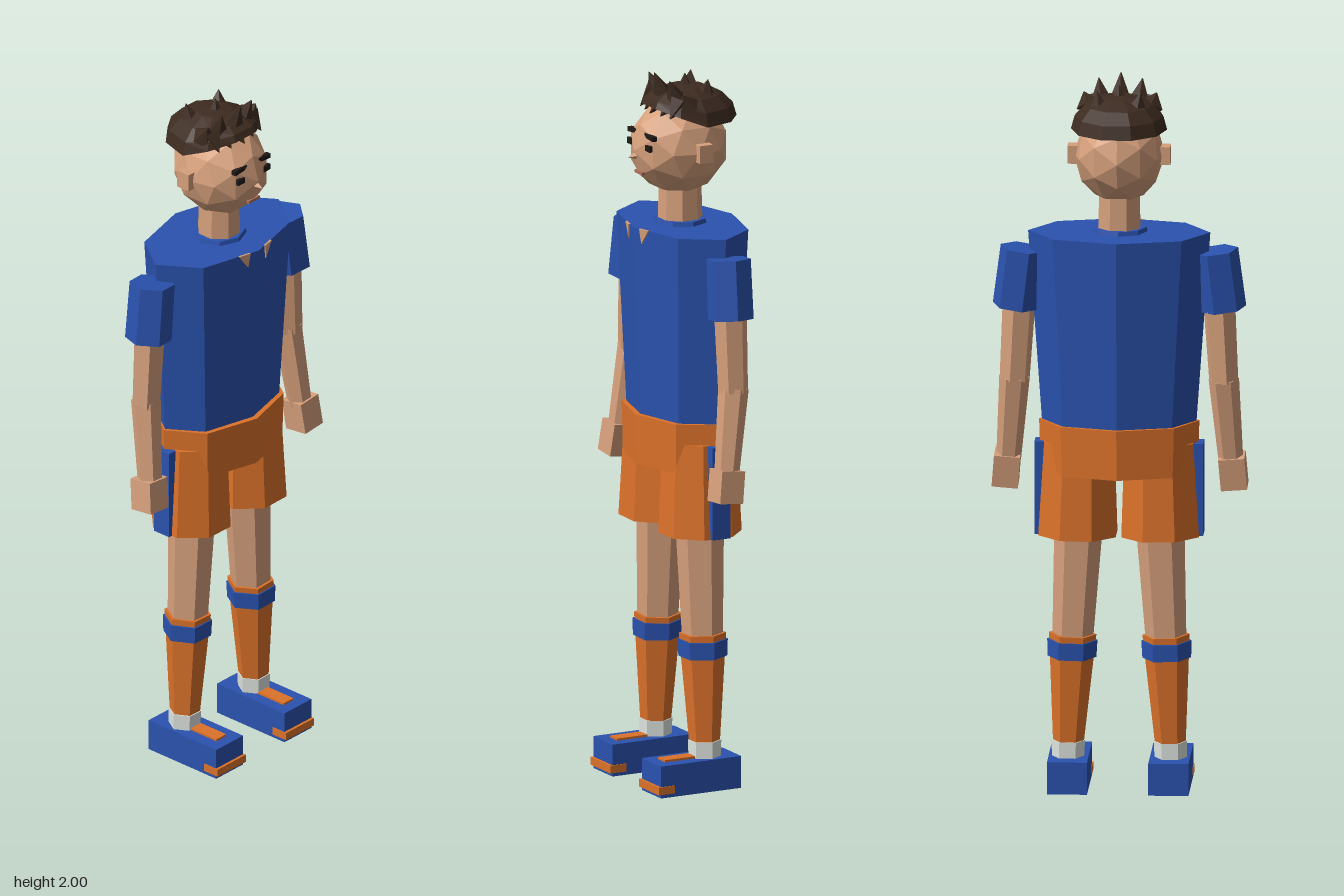
import * as THREE from 'three';

const material = (name, color) => {
  const m = new THREE.MeshStandardMaterial({ color });
  m.name = name;
  return m;
};

export function createModel() {
  const skin = material('skin', 0xd6a07c);
  const hair = material('hair', 0x3d2b20);
  const blue = material('blue cloth', 0x2a52ae);
  const orange = material('orange cloth', 0xdc722a);
  const white = material('ankle white', 0xdfe6e2);
  const dark = material('dark features', 0x1f1a18);
  const lip = material('lip', 0xb0705a);
  const model = new THREE.Group();
  model.name = 'footballer';

  // Faceted mesh with one normal per face
  const add = (name, geometry, mat, x = 0, y = 0, z = 0) => {
    const g = geometry.index ? geometry.toNonIndexed() : geometry;
    g.computeVertexNormals();
    const mesh = new THREE.Mesh(g, mat);
    mesh.name = name;
    mesh.position.set(x, y, z);
    model.add(mesh);
    return mesh;
  };
  const box = (name, mat, w, h, d, x, y, z) => add(name, new THREE.BoxGeometry(w, h, d), mat, x, y, z);

  // Prism or cone running from point a to point b
  const limb = (name, mat, a, b, ra, rb, sides = 6, turn = Math.PI / sides) => {
    const from = new THREE.Vector3(...a), to = new THREE.Vector3(...b);
    const dir = to.clone().sub(from);
    const g = new THREE.CylinderGeometry(rb, ra, dir.length(), sides).rotateY(turn);
    const mesh = add(name, g, mat);
    mesh.position.copy(from).add(to).multiplyScalar(0.5);
    mesh.quaternion.setFromUnitVectors(new THREE.Vector3(0, 1, 0), dir.normalize());
    return mesh;
  };

  // Flattened eight-sided body section
  const section = (name, mat, y0, y1, r0, r1, z, depth) =>
    add(name, new THREE.CylinderGeometry(r1, r0, y1 - y0, 8).scale(1, 1, depth), mat, 0, (y0 + y1) / 2, z);

  // Trunk
  section('shirt', blue, 1.01, 1.57, 0.21, 0.25, -0.012, 0.62);
  section('shortsWaist', orange, 0.9, 1.04, 0.215, 0.22, -0.01, 0.66);
  section('collar', blue, 1.56, 1.582, 0.08, 0.075, -0.005, 0.95);
  limb('neck', skin, [0, 1.56, -0.005], [0, 1.7, -0.005], 0.062, 0.058, 8);

  // Head
  add('head', new THREE.IcosahedronGeometry(1, 1).scale(0.126, 0.135, 0.14), skin, 0, 1.785, 0);
  limb('nose', skin, [0, 1.775, 0.115], [0, 1.768, 0.156], 0.02, 0.001, 4, 0);
  box('mouth', lip, 0.045, 0.008, 0.009, 0, 1.722, 0.121);

  // Hair cap: a dome whose front edge is lifted off the forehead
  const cap = new THREE.SphereGeometry(1, 10, 4, 0, Math.PI * 2, 0, Math.PI / 2).scale(0.132, 0.098, 0.146);
  const p = cap.attributes.position;
  for (let i = 0; i < p.count; i++) {
    const z = p.getZ(i);
    if (z <= 0) continue;
    const low = 1 - p.getY(i) / 0.098;
    p.setY(i, p.getY(i) + z * 0.33 * low);
    p.setZ(i, z * 0.82);
  }
  add('hairCap', cap, hair, 0, 1.86, -0.02);
  const underside = new THREE.CircleGeometry(1, 10).rotateX(Math.PI / 2).scale(0.13, 1, 0.1);
  add('hairUnderside', underside, hair, 0, 1.861, -0.065);

  // Hair tufts: x, z of the base, lean in x and z, tip height
  const tufts = [
    [0, -0.02, 0, 0, 1.985], [-0.05, -0.06, -0.012, -0.012, 1.975], [0.05, -0.055, 0.008, -0.005, 1.975],
    [0, 0.04, 0, 0.035, 1.998], [-0.05, 0.03, -0.01, 0.03, 1.985], [0.05, 0.03, 0.01, 0.03, 1.985],
    [-0.085, 0.02, -0.015, 0.02, 1.95], [0.085, 0.02, 0.015, 0.02, 1.95],
  ];
  for (const [x, z, dx, dz, top] of tufts)
    limb('hairTuft', hair, [x, 1.915, z], [x + dx, top, z + dz], 0.036, 0.001, 5);
  // Fringe points
  for (const x of [-0.085, -0.045, 0, 0.045, 0.085])
    limb('fringe', hair, [x * 0.9, 1.925, 0.035], [x, 1.885, 0.09 - Math.abs(x) * 0.2], 0.032, 0.001, 4);

  for (const s of [1, -1]) {
    // Face details
    box('ear', skin, 0.03, 0.05, 0.042, s * 0.126, 1.788, -0.011);
    box('eye', dark, 0.026, 0.017, 0.009, s * 0.052, 1.8, 0.121);
    box('eyebrow', dark, 0.048, 0.013, 0.014, s * 0.048, 1.831, 0.113).rotation.z = -s * 0.08;

    // Skin notches at the neckline, laid on the shirt front
    const notch = new THREE.Shape([[0.03, 0], [0.065, 0], [0.036, -0.042]].map(([x, y]) => new THREE.Vector2(s * x, y)));
    const plate = new THREE.ExtrudeGeometry(notch, { depth: 0.006, bevelEnabled: false });
    const v = plate.attributes.position;
    for (let i = 0; i < v.count; i++)
      v.setZ(i, v.getZ(i) + 0.141 - 0.255 * Math.abs(v.getX(i)) + v.getY(i) * 0.045);
    add('necklineNotch', plate, skin, 0, 1.571, 0);

    // Arm
    limb('sleeve', blue, [s * 0.285, 1.355, -0.008], [s * 0.265, 1.52, -0.012], 0.064, 0.062, 6, s * 0.35);
    limb('upperArm', skin, [s * 0.272, 1.42, -0.012], [s * 0.287, 1.15, -0.014], 0.047, 0.042);
    limb('forearm', skin, [s * 0.287, 1.16, -0.015], [s * 0.305, 0.92, 0.016], 0.042, 0.034);
    const hand = box('hand', skin, 0.072, 0.09, 0.072, s * 0.311, 0.892, 0.02);
    hand.rotation.set(-0.12, 0, s * 0.08);

    // Shorts leg with side stripe
    limb('shortsLeg', orange, [s * 0.114, 0.718, -0.005], [s * 0.11, 0.98, -0.005], 0.115, 0.102, 8);
    box('shortsStripe', blue, 0.035, 0.26, 0.056, s * 0.214, 0.85, -0.008);

    // Leg, sock and ankle
    limb('thigh', skin, [s * 0.128, 0.42, -0.005], [s * 0.11, 0.78, -0.005], 0.056, 0.068);
    limb('sock', orange, [s * 0.14, 0.125, -0.005], [s * 0.128, 0.435, -0.005], 0.042, 0.065);
    limb('sockBand', blue, [s * 0.13, 0.37, -0.005], [s * 0.129, 0.418, -0.005], 0.067, 0.069);
    limb('ankle', white, [s * 0.141, 0.08, -0.005], [s * 0.14, 0.135, -0.005], 0.044, 0.046);

    // Shoe
    box('shoe', blue, 0.11, 0.09, 0.25, s * 0.139, 0.045, 0.035);
    box('shoeToe', orange, 0.115, 0.022, 0.05, s * 0.139, 0.021, 0.143);
    box('shoeTongue', orange, 0.04, 0.008, 0.095, s * 0.137, 0.092, 0.08);
  }
  return model;
}
